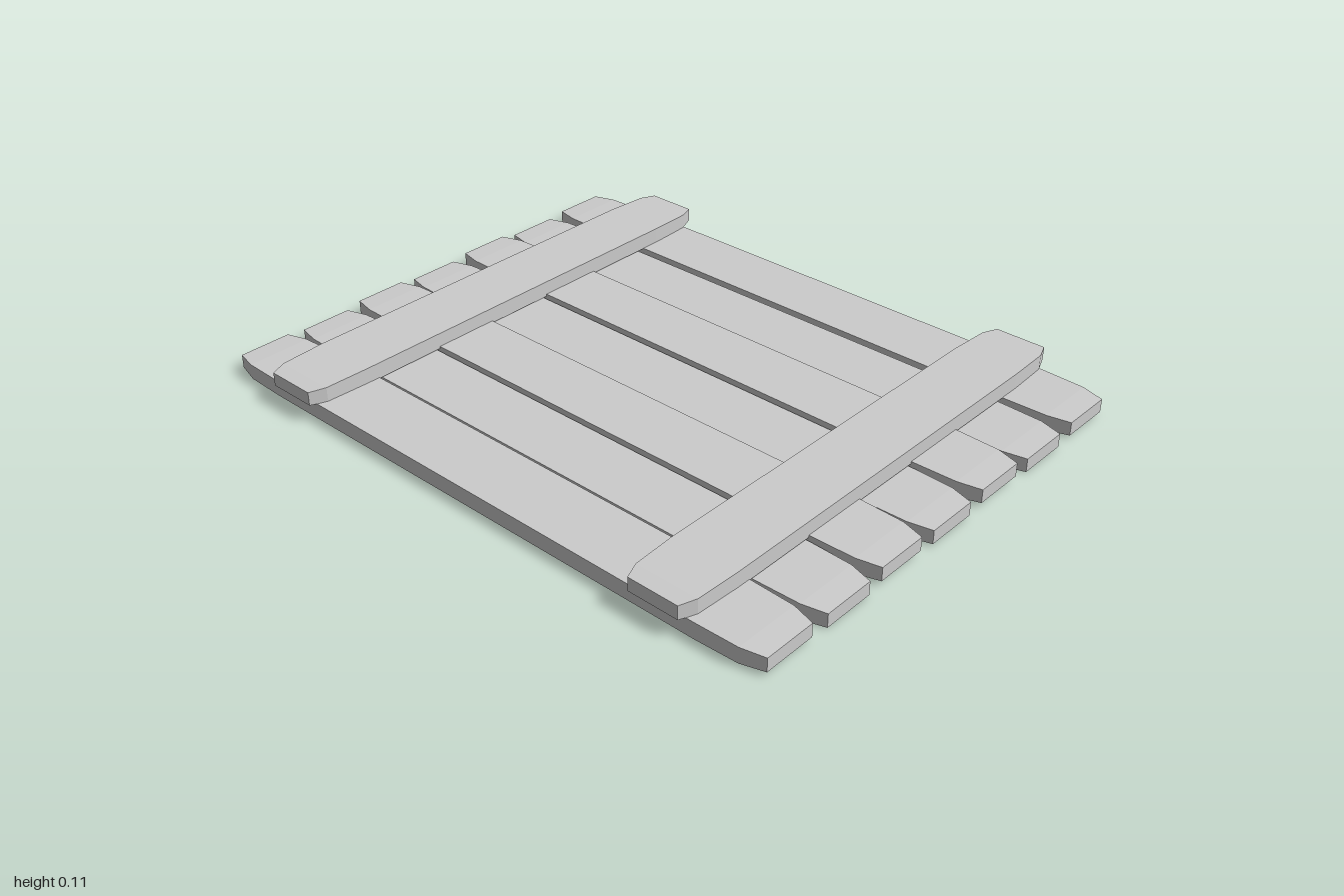
import * as THREE from 'three';

// Board lying along z: each station is [z, halfWidth, halfThickness] from middle to end
function boardGeometry(stations) {
  const ends = [...stations].reverse();
  const rows = [...ends.map(([z, w, t]) => [-z, w, t]), ...stations];
  const geo = new THREE.BoxGeometry(2, 2, 1, 1, 1, rows.length - 1);
  const pos = geo.attributes.position;
  for (let i = 0; i < pos.count; i++) {
    const row = Math.round((pos.getZ(i) + 0.5) * (rows.length - 1));
    const [z, w, t] = rows[row];
    pos.setXYZ(i, Math.sign(pos.getX(i)) * w, Math.sign(pos.getY(i)) * t, z);
  }
  const flat = geo.toNonIndexed();
  flat.computeVertexNormals();
  return flat;
}

export function createModel() {
  const model = new THREE.Group();
  model.name = 'plankPanel';
  const wood = new THREE.MeshStandardMaterial({ color: 0xcccccc });
  wood.name = 'pale grey wood';

  // Seven long planks, set at slightly uneven heights
  const plankGeo = boardGeometry([
    [0.8, 0.105, 0.025], [0.93, 0.101, 0.024], [1, 0.083, 0.021],
  ]);
  const planks = [
    [-0.675, 0.037], [-0.45, 0.028], [-0.235, 0.041], [-0.015, 0.031],
    [0.205, 0.041], [0.425, 0.027], [0.65, 0.035],
  ];
  planks.forEach(([x, y], i) => {
    const plank = new THREE.Mesh(plankGeo, wood);
    plank.name = `plank${i + 1}`;
    plank.position.set(x, y, 0);
    model.add(plank);
  });

  // Two cross battens on top
  const battenGeo = boardGeometry([
    [0.61, 0.105, 0.025], [0.75, 0.099, 0.023], [0.8, 0.08, 0.021],
  ]);
  for (const [name, z] of [['backBatten', -0.7], ['frontBatten', 0.685]]) {
    const batten = new THREE.Mesh(battenGeo, wood);
    batten.name = name;
    batten.rotation.y = Math.PI / 2;
    batten.position.set(0, 0.084, z);
    model.add(batten);
  }
  return model;
}
